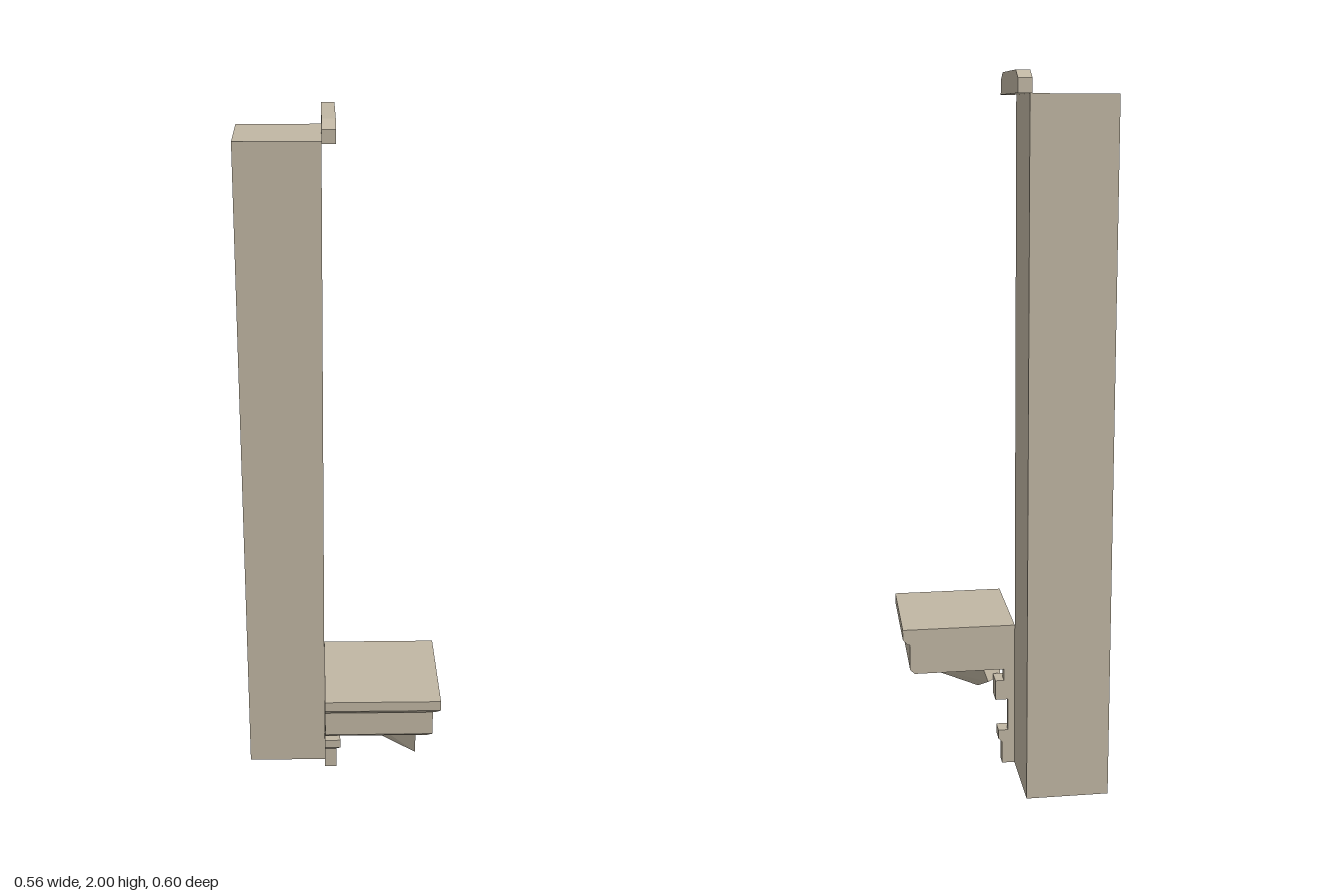
import * as THREE from 'three';

const stone = new THREE.MeshStandardMaterial({ color: 0xc1b7a4 });
stone.name = 'stone';

// Inner corner shared by the pillar, ledge and pilaster
const CX = -0.047, CZ = -0.027;

// Closed flat-shaded solid through rings listed bottom to top;
// flip holds the side numbers whose quads use the other diagonal
function loft(name, rings, flip = []) {
  const pos = [];
  const tri = (...pts) => pts.forEach((p) => pos.push(...p));
  const n = rings[0].length;
  for (let r = 0; r + 1 < rings.length; r++) {
    const a = rings[r], b = rings[r + 1];
    for (let i = 0; i < n; i++) {
      const j = (i + 1) % n;
      if (flip.includes(i)) {
        tri(a[i], a[j], b[j]);
        tri(a[i], b[j], b[i]);
      } else {
        tri(a[i], a[j], b[i]);
        tri(a[j], b[j], b[i]);
      }
    }
  }
  const bottom = rings[0], top = rings[rings.length - 1];
  for (let i = 1; i + 1 < n; i++) {
    tri(bottom[0], bottom[i + 1], bottom[i]);
    tri(top[0], top[i], top[i + 1]);
  }
  const g = new THREE.BufferGeometry();
  g.setAttribute('position', new THREE.Float32BufferAttribute(pos, 3));
  g.computeVertexNormals();
  const mesh = new THREE.Mesh(g, stone);
  mesh.name = name;
  return mesh;
}

const rect = (x0, x1, z0, z1, y) => [[x0, y, z0], [x0, y, z1], [x1, y, z1], [x1, y, z0]];

// Quarter moulding growing from the inner corner: [reach, height] steps
const moulding = (name, steps) =>
  loft(name, steps.map(([e, y]) => rect(CX, CX + e, CZ, CZ + e, y)));

export function createModel() {
  const model = new THREE.Group();
  model.name = 'cornerPillar';

  // Tall square pillar
  model.add(loft('pillar', [0, 1.942].map((y) => rect(-0.281, CX, -0.262, CZ, y))));

  // Chamfered rail above the pillar
  model.add(loft('topRail', [
    rect(CX, -0.01, -0.301, 0.01, 1.942),
    rect(CX, -0.01, -0.301, 0.01, 1.979),
    rect(CX, -0.01, -0.263, -0.027, 2),
  ]));

  // Moulded ledge
  model.add(moulding('ledge', [
    [0.295, 0.297], [0.308, 0.31], [0.308, 0.388], [0.314, 0.388],
    [0.328, 0.403], [0.328, 0.433],
  ]));

  // Small pilaster in the corner below the ledge
  model.add(moulding('pilaster', [
    [0.037, 0], [0.037, 0.067], [0.048, 0.078], [0.048, 0.105], [0.02, 0.105],
    [0.02, 0.202], [0.057, 0.202], [0.057, 0.262], [0.032, 0.262], [0.032, 0.297],
  ]));

  // Diagonal bracket tapering to the outer corner, mirrored across the diagonal
  const wedge = (x, z, y, tipY) =>
    [[z - 0.023, y, x + 0.023], [x, y, z], [0.216, tipY, 0.239]];
  model.add(loft('bracket', [
    wedge(0.03, 0.075, 0.217, 0.217),
    wedge(-0.015, 0.05, 0.245, 0.217),
    wedge(-0.015, 0.068, 0.297, 0.297),
  ], [2]));

  return model;
}
